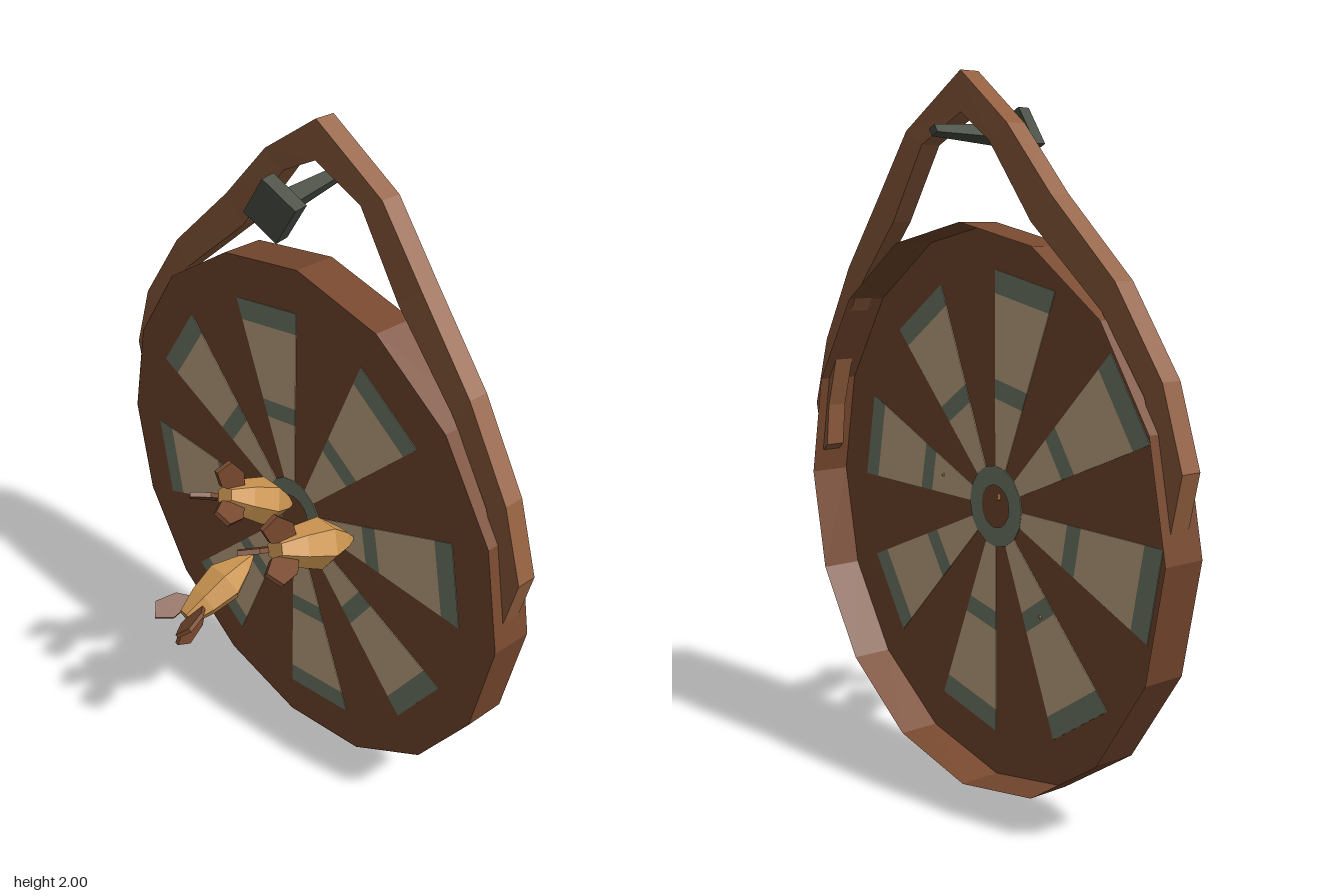
import * as THREE from 'three';

const paint = (name, color, extra = {}) => {
  const m = new THREE.MeshStandardMaterial({ color, flatShading: true, ...extra });
  m.name = name;
  return m;
};
const rad = THREE.MathUtils.degToRad;

export function createModel() {
  const wood = paint('brown wood', 0x78492f, { side: THREE.DoubleSide });
  const tan = paint('tan paint', 0xcdb18c);
  const green = paint('grey green paint', 0x76806c);
  const leather = paint('strap leather', 0x925f3f);
  const gold = paint('dart gold', 0xcb9450);
  const iron = paint('dark iron', 0x4a4f45);

  const model = new THREE.Group();
  const add = (parent, name, geometry, material) => {
    const mesh = new THREE.Mesh(geometry, material);
    mesh.name = name;
    parent.add(mesh);
    return mesh;
  };

  // Board: shallow dish facing sideways, open toward +x
  const board = new THREE.Group();
  board.name = 'board';
  board.position.set(0.076, 0.8, 0);
  board.rotation.y = Math.PI / 2; // local x runs along -z, local z along +x
  model.add(board);
  add(board, 'boardFace', new THREE.CircleGeometry(0.8, 16), wood);
  const rim = new THREE.CylinderGeometry(0.8, 0.8, 0.125, 16, 1, true);
  rim.rotateX(Math.PI / 2).translate(0, 0, 0.0615);
  add(board, 'boardRim', rim, wood);

  // Painted plates show on both sides of the face
  const plate = (name, points, hole, depth, material) => {
    const shape = new THREE.Shape(points);
    if (hole) shape.holes.push(new THREE.Path(hole));
    const geometry = new THREE.ExtrudeGeometry(shape, { depth, bevelEnabled: false });
    add(board, name, geometry.translate(0, 0, -depth / 2), material);
  };
  const polar = (r, a) => new THREE.Vector2(r * Math.sin(a), r * Math.cos(a));
  const ringPoints = (r) => Array.from({ length: 16 }, (_, i) => polar(r, i * Math.PI / 8));
  const bands = [
    ['innerPanel', 0.11, 0.31, tan], ['innerBand', 0.31, 0.365, green],
    ['outerPanel', 0.365, 0.605, tan], ['outerBand', 0.605, 0.67, green],
  ];
  for (let i = 0; i < 8; i++) {
    const a = i * Math.PI / 4, b = a + Math.PI / 8;
    for (const [name, r0, r1, material] of bands) {
      plate(name, [polar(r0, a), polar(r1, a), polar(r1, b), polar(r0, b)], null, 0.004, material);
    }
  }
  plate('bullRing', ringPoints(0.118), ringPoints(0.062), 0.006, green);

  // Strap: [outer z, outer y, inner z, inner y, x] from the low end to the peak
  const half = [
    [0.785, 0.87, 0.76, 0.89, 0.14], [0.82, 1.02, 0.745, 1.02, 0.14],
    [0.75, 1.23, 0.69, 1.19, 0.14], [0.595, 1.46, 0.55, 1.385, 0.15],
    [0.385, 1.67, 0.31, 1.6, 0.175], [0.225, 1.85, 0.15, 1.81, 0.185],
    [0, 2, 0, 1.89, 0.163],
  ];
  const mirrored = half.slice(0, -1).reverse().map(([oz, oy, iz, iy, x]) => [-oz, oy, -iz, iy, x]);
  const loops = [...half, ...mirrored].map(([oz, oy, iz, iy, x]) => [
    [x - 0.03, oy, oz], [x + 0.03, oy, oz], [x + 0.03, iy, iz], [x - 0.03, iy, iz],
  ]);
  const verts = [];
  const quad = (a, b, c, d) => verts.push(...a, ...b, ...c, ...a, ...c, ...d);
  for (let k = 0; k + 1 < loops.length; k++) {
    for (let i = 0; i < 4; i++) {
      const j = (i + 1) % 4;
      quad(loops[k][i], loops[k][j], loops[k + 1][j], loops[k + 1][i]);
    }
  }
  quad(...[...loops[0]].reverse());
  quad(...loops[loops.length - 1]);
  const strap = new THREE.BufferGeometry();
  strap.setAttribute('position', new THREE.Float32BufferAttribute(verts, 3));
  strap.computeVertexNormals();
  add(model, 'hangingStrap', strap, leather);

  // Nail: square head and tapering shaft
  const nail = new THREE.Group();
  nail.name = 'nail';
  nail.position.set(-0.06, 1.838, 0.07);
  nail.rotation.set(rad(30), rad(13), 0, 'YXZ');
  model.add(nail);
  add(nail, 'nailHead', new THREE.BoxGeometry(0.047, 0.117, 0.117), iron);
  const shaft = new THREE.CylinderGeometry(0.016, 0.036, 0.36, 4);
  shaft.rotateY(Math.PI / 4).rotateZ(-Math.PI / 2).translate(0.18, 0, 0);
  add(nail, 'nailShaft', shaft, iron);

  // Darts: faceted body along local y with three flared fins
  const bodyProfile = [[0, 0], [0.01, 0.015], [0.035, 0.055], [0.07, 0.135],
    [0.055, 0.225], [0.03, 0.3], [0, 0.3]].map(([r, y]) => new THREE.Vector2(r, y));
  const finShape = new THREE.Shape([[0.02, 0.23], [0.025, 0.33], [0.065, 0.372],
    [0.103, 0.335], [0.078, 0.27]].map(([r, y]) => new THREE.Vector2(r, y)));
  const bodyGeometry = new THREE.LatheGeometry(bodyProfile, 6);
  const finGeometry = new THREE.ExtrudeGeometry(finShape, { depth: 0.014, bevelEnabled: false });
  finGeometry.translate(0, 0, -0.007);
  const darts = [ // y, z, upward tilt, first fin angle, scale
    [0.852, 0.25, 20, 0, 1.05], [0.82, -0.015, 31, 0, 1], [0.524, -0.2, -22, 180, 1],
  ];
  for (const [y, z, tilt, turn, scale] of darts) {
    const dart = new THREE.Group();
    dart.name = 'dart';
    dart.position.set(0.085, y, z);
    dart.rotation.z = rad(90 - tilt);
    dart.scale.setScalar(scale);
    model.add(dart);
    add(dart, 'dartBody', bodyGeometry, gold);
    for (let i = 0; i < 3; i++) {
      add(dart, 'dartFin', finGeometry, wood).rotation.y = rad(turn + i * 120);
    }
  }
  return model;
}
